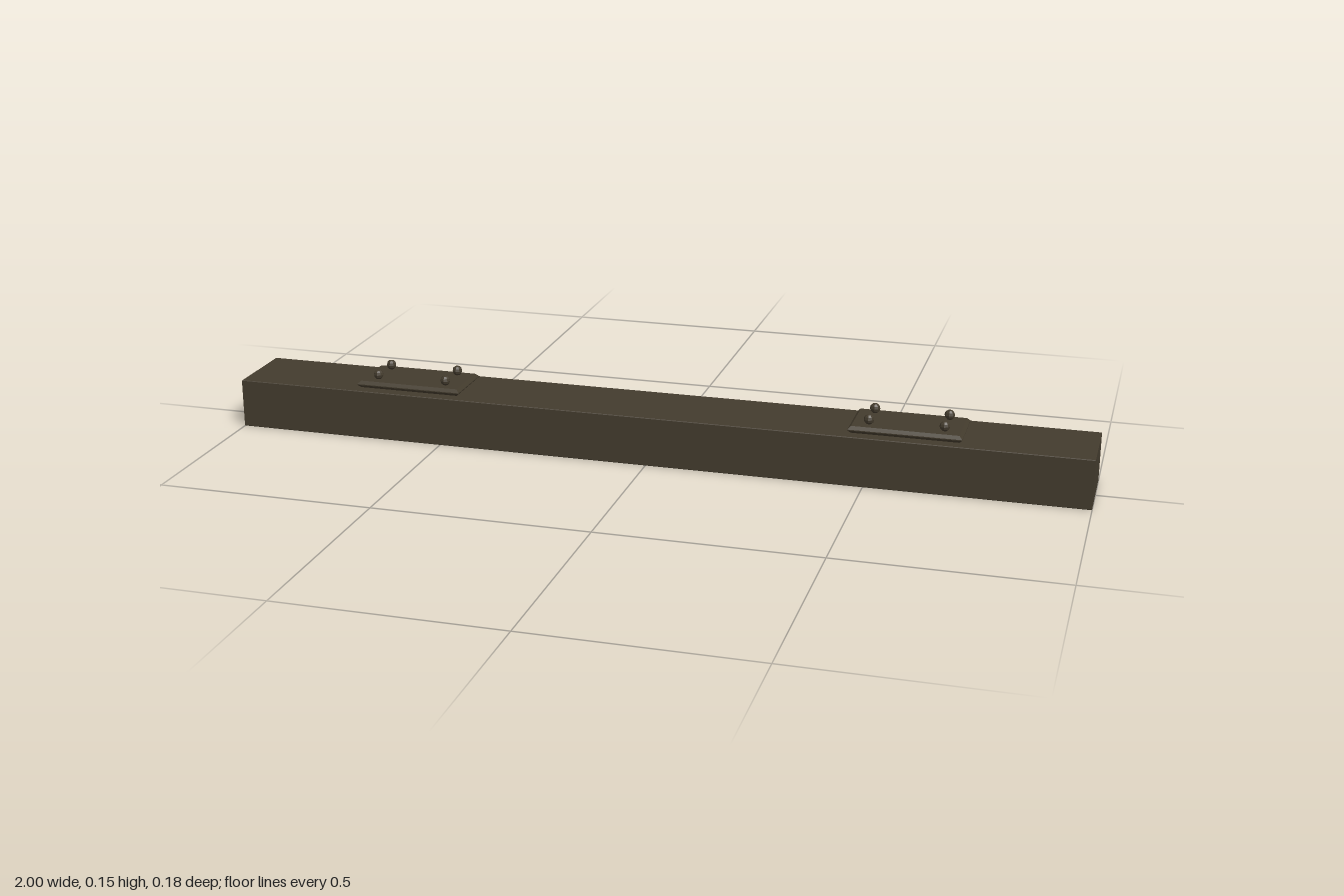
import * as THREE from 'three';

// Rectangular slab whose top and bottom rims are chamfered, standing on y = 0
function chamferedSlab(width, height, depth, chamfer) {
  const w = width / 2 - chamfer, d = depth / 2 - chamfer;
  const shape = new THREE.Shape([
    new THREE.Vector2(-w, -d), new THREE.Vector2(w, -d),
    new THREE.Vector2(w, d), new THREE.Vector2(-w, d),
  ]);
  const geometry = new THREE.ExtrudeGeometry(shape, {
    depth: height - 2 * chamfer,
    bevelThickness: chamfer, bevelSize: chamfer, bevelSegments: 1,
  });
  return geometry.rotateX(-Math.PI / 2).translate(0, chamfer, 0);
}

export function createModel() {
  const model = new THREE.Group();
  model.name = 'beam';
  const darkWood = new THREE.MeshStandardMaterial({ color: 0x433b2d, flatShading: true });
  darkWood.name = 'darkBrown';

  const add = (parent, name, geometry, x, y, z) => {
    const mesh = new THREE.Mesh(geometry, darkWood);
    mesh.name = name;
    mesh.position.set(x, y, z);
    parent.add(mesh);
  };

  // Long timber
  const beamTop = 0.115;
  add(model, 'timber', chamferedSlab(2, beamTop, 0.184, 0.0015), 0, 0, 0);

  // Two mounting plates, each with four round bolt heads
  const plateGeometry = chamferedSlab(0.254, 0.016, 0.136, 0.007);
  const boltGeometry = new THREE.SphereGeometry(0.0118, 8, 6);
  for (const side of [-1, 1]) {
    const mount = new THREE.Group();
    mount.name = side > 0 ? 'leftMount' : 'rightMount';
    mount.position.set(side * 0.585, beamTop, 0.001);
    add(mount, 'plate', plateGeometry, 0, 0, 0);
    for (const x of [-0.084, 0.084]) {
      for (const z of [-0.039, 0.039]) add(mount, 'bolt', boltGeometry, x, 0.0278, z);
    }
    model.add(mount);
  }
  return model;
}
